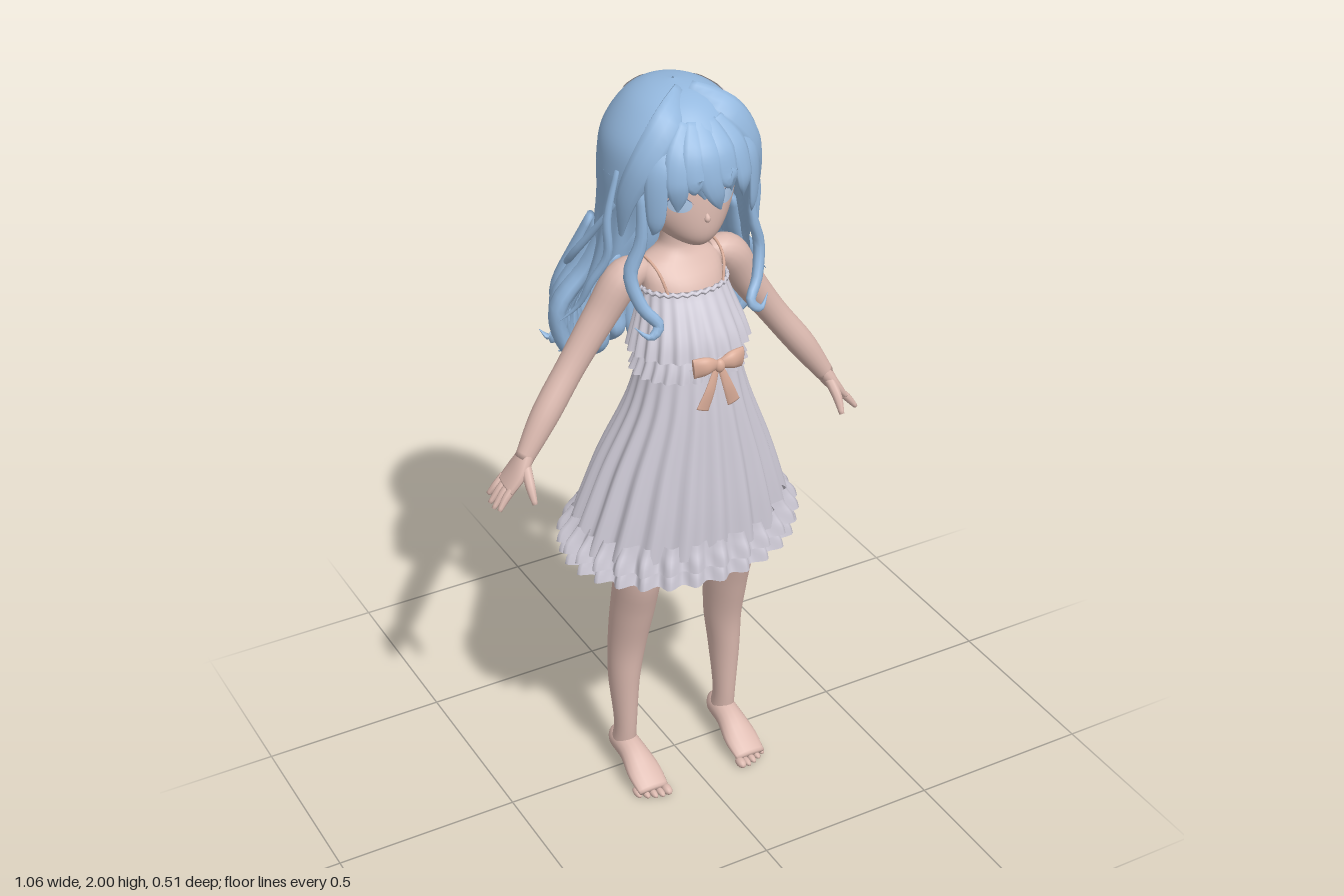
import * as THREE from 'three';

const mat = (name, color, side = THREE.DoubleSide) => {
  const m = new THREE.MeshStandardMaterial({ color, side });
  m.name = name;
  return m;
};
const TAU = Math.PI * 2;
const clamp = THREE.MathUtils.clamp;

// Smooth interpolation through a list of rows, t from 0 to 1
function sample(rows, t) {
  const n = rows.length, f = clamp(t, 0, 1) * (n - 1);
  const i = Math.min(Math.floor(f), n - 2), k = f - i;
  return rows[i].map((_, c) => {
    const p = j => rows[clamp(j, 0, n - 1)][c];
    const a = p(i - 1), b = p(i), d = p(i + 1), e = p(i + 2);
    return b + 0.5 * k * (d - a + k * (2 * a - 5 * b + 4 * d - e + k * (3 * (b - d) + e - a)));
  });
}

// Grid surface from fn(u, v); closed surfaces share the seam so normals stay smooth
function surface(nu, nv, fn, closed = true) {
  const cols = closed ? nu : nu + 1, pos = [], idx = [];
  for (let j = 0; j <= nv; j++) for (let i = 0; i < cols; i++) pos.push(...fn(i / nu, j / nv));
  for (let j = 0; j < nv; j++) for (let i = 0; i < nu; i++) {
    const a = j * cols + i, b = j * cols + (i + 1) % cols;
    idx.push(a, b, a + cols, b, b + cols, a + cols);
  }
  const g = new THREE.BufferGeometry();
  g.setAttribute('position', new THREE.Float32BufferAttribute(pos, 3));
  g.setIndex(idx);
  g.computeVertexNormals();
  return g;
}

// Point on a stack of ellipses, rows = [y, rx, rz, cx, cz, fold depth]
function ringPoint(rows, a, t, folds = 0, grow = 1, tilt = 0) {
  const [y, rx, rz, cx, cz, amp = 0] = sample(rows, t);
  const w = grow * (1 + amp * Math.cos(folds * a));
  return [cx + Math.sin(a) * rx * w, y - tilt * Math.cos(a), cz + Math.cos(a) * rz * w];
}
const loft = (rows, nu = 32, nv = 24, folds = 0, grow = 1, tilt = 0) =>
  surface(nu, nv, (u, v) => ringPoint(rows, u * TAU, v, folds, grow, tilt));

// Tapered tube with elliptical section; radii = [along normal, across]
function sweep(pts, radii, normal = null, nu = 10, nv = 22) {
  return surface(nu, nv, (u, v) => {
    const j = Math.round(v * nv), t = clamp((j - 1) / (nv - 2), 0, 1);
    const c = new THREE.Vector3(...sample(pts, t));
    const T = new THREE.Vector3(...sample(pts, t + 0.01)).sub(new THREE.Vector3(...sample(pts, t - 0.01))).normalize();
    const N = normal ? new THREE.Vector3(...normal) : new THREE.Vector3(c.x, 0, c.z);
    N.addScaledVector(T, -N.dot(T)).normalize();
    const B = new THREE.Vector3().crossVectors(T, N);
    const [rn, rb] = sample(radii, t), k = j === 0 || j === nv ? 0.001 : 1;
    return c.addScaledVector(N, rn * k * Math.cos(u * TAU)).addScaledVector(B, rb * k * Math.sin(u * TAU)).toArray();
  });
}

export function createModel() {
  const root = new THREE.Group();
  root.name = 'girl';
  const skin = mat('skin', 0xdcbab0), hair = mat('hair blue', 0x94b8de), shine = mat('hair shine', 0xdcd8de);
  const cloth = mat('dress cloth', 0xd0ccd8), lining = mat('dress lining', 0x9dbbe0), ribbon = mat('ribbon', 0xdcae9a);
  const iris = mat('eye blue', 0xb4d0f0), lash = mat('lash', 0x667798);
  const add = (name, geo, material) => {
    const m = new THREE.Mesh(geo, material);
    m.name = name;
    root.add(m);
    return m;
  };
  const flip = (pts, s) => pts.map(([x, y, z]) => [x * s, y, z]);
  const round = list => list.map(r => [r, r]);

  // Torso and neck
  add('torso', loft([[0.82, 0.09, 0.07, 0, 0.03], [0.95, 0.14, 0.1, 0, 0.04], [1.12, 0.12, 0.09, 0, 0.055],
    [1.27, 0.1, 0.085, 0, 0.06], [1.4, 0.105, 0.085, 0, 0.055], [1.49, 0.108, 0.077, 0, 0.04],
    [1.54, 0.105, 0.058, 0, 0.02], [1.568, 0.055, 0.046, 0, 0.012], [1.6, 0.04, 0.04, 0, 0.012], [1.68, 0.04, 0.04, 0, 0.02]], 32, 36), skin);

  // Head, nose and eyes
  const headRows = [[1.612, 0.004, 0.004, 0, 0.115], [1.628, 0.045, 0.055, 0, 0.09], [1.66, 0.086, 0.1, 0, 0.06],
    [1.72, 0.127, 0.135, 0, 0.027], [1.8, 0.146, 0.15, 0, 0.005], [1.88, 0.13, 0.14, 0, 0], [1.95, 0.03, 0.03, 0, 0]];
  add('head', loft(headRows, 40, 30), skin);
  add('nose', sweep([[0, 1.715, 0.158], [0, 1.7, 0.163], [0, 1.69, 0.158]], round([0.002, 0.008, 0.002]), [0, 0, 1]), skin);
  for (const s of [1, -1]) {
    add('eye', surface(24, 3, (u, v) => ringPoint(headRows, s * 0.5 + 0.22 * (1 - v) * Math.cos(u * TAU),
      0.55 + 0.042 * (1 - v) * Math.sin(u * TAU), 0, 1.015)), iris);
    add('eyelash', surface(14, 2, (u, v) => ringPoint(headRows, s * 0.5 - 0.25 + 0.5 * u,
      0.553 + 0.04 * Math.sin(u * Math.PI) + 0.012 * v * Math.sin(u * Math.PI), 0, 1.02), false), lash);
  }

  // Limbs
  for (const s of [1, -1]) {
    add('leg', loft([[0.07, 0.033, 0.042, 0.155, -0.01], [0.15, 0.03, 0.035, 0.155, 0.005], [0.3, 0.041, 0.05, 0.155, 0],
      [0.42, 0.05, 0.058, 0.147, 0.005], [0.55, 0.056, 0.07, 0.141, 0.028], [0.7, 0.057, 0.08, 0.134, 0.058],
      [0.92, 0.066, 0.085, 0.085, 0.05]].map(([y, rx, rz, cx, cz]) => [y, rx, rz, cx * s, cz]), 24, 30), skin);
    add('foot', sweep(flip([[0.155, 0.08, -0.058], [0.155, 0.078, -0.03], [0.153, 0.07, 0.04], [0.152, 0.043, 0.105], [0.152, 0.02, 0.16]], s),
      [[0.016, 0.016], [0.038, 0.033], [0.036, 0.037], [0.025, 0.048], [0.012, 0.044]], [0, 1, 0], 16), skin);
    for (let i = 0; i < 5; i++) {
      const toe = add('toe', new THREE.SphereGeometry(1, 10, 8), skin);
      const r = i ? 0.0095 : 0.013;
      toe.scale.set(r, r, 0.022);
      toe.position.set(s * (0.116 + i * 0.019), r, 0.168 - i * i * 0.0018);
    }
    add('arm', sweep(flip([[0.085, 1.525, 0.012], [0.145, 1.512, 0.01], [0.205, 1.42, 0], [0.285, 1.305, 0], [0.37, 1.19, 0.013], [0.437, 1.09, 0.025]], s),
      round([0.03, 0.047, 0.043, 0.037, 0.036, 0.024]), [0, 0, 1], 18, 30), skin);
    add('palm', sweep(flip([[0.428, 1.105, 0.024], [0.455, 1.06, 0.022], [0.485, 1.022, 0.016]], s),
      [[0.025, 0.022], [0.04, 0.019], [0.042, 0.012]], [0, 0, 1], 14), skin);
    // Fingers fan out from the palm
    for (let i = 0; i < 4; i++) {
      const z = 0.046 - i * 0.021, len = [0.9, 1, 0.95, 0.75][i];
      add('finger', sweep(flip([[0.474, 1.032, z], [0.497, 1.008, z], [0.485 + 0.04 * len, 1.022 - 0.05 * len, z * 1.2 - 0.004]], s),
        round([0.01, 0.0105, 0.006]), [0, 0, 1], 8, 10), skin);
    }
    add('thumb', sweep(flip([[0.44, 1.08, 0.04], [0.446, 1.04, 0.075], [0.446, 1.0, 0.1]], s), round([0.014, 0.013, 0.007]), [1, 0, 0], 8, 10), skin);
  }

  // Dress: pleated skirt with lining, two hem ruffles, waist frill and bodice flounce
  const skirtRows = [[0.79, 0.298, 0.212, 0, 0.022, 0.045], [0.9, 0.263, 0.196, 0, 0.035, 0.045], [1.02, 0.222, 0.174, 0, 0.048, 0.04],
    [1.18, 0.158, 0.136, 0, 0.07, 0.03], [1.31, 0.122, 0.115, 0, 0.073, 0.01]];
  add('skirt', loft(skirtRows, 160, 24, 20), cloth);
  add('skirtLining', loft(skirtRows, 160, 16, 20, 0.965), lining);
  const ruffleRows = [[0.775, 0.322, 0.229, 0, 0.024, 0.05], [0.8, 0.312, 0.224, 0, 0.023, 0.06], [0.825, 0.297, 0.214, 0, 0.025, 0.045], [0.845, 0.285, 0.207, 0, 0.028, 0.04]];
  add('upperRuffle', loft(ruffleRows, 200, 8, 28, 1, 0.012), cloth);
  const lowRows = ruffleRows.map(([y, ...r]) => [y - 0.035, ...r]);
  add('lowerRuffle', loft(lowRows, 200, 8, 28, 0.985, 0.022), cloth);
  add('ruffleLining', loft(lowRows, 200, 8, 28, 0.96, 0.022), lining);
  add('waistFrill', loft([[1.275, 0.15, 0.122, 0, 0.072, 0.045], [1.31, 0.136, 0.115, 0, 0.072, 0.03], [1.37, 0.115, 0.1, 0, 0.065, 0.01]], 160, 8, 24), cloth);
  add('bodiceFlounce', loft([[1.335, 0.157, 0.126, 0, 0.073, 0.045], [1.38, 0.145, 0.117, 0, 0.069, 0.035], [1.44, 0.125, 0.099, 0, 0.057, 0.02],
    [1.485, 0.113, 0.085, 0, 0.046, 0.015], [1.497, 0.114, 0.086, 0, 0.046, 0.03]], 160, 14, 22), cloth);
  add('necklineTrim', surface(120, 8, (u, v) => {
    const a = u * TAU, r = 0.114 + 0.005 * Math.cos(v * TAU);
    return [Math.sin(a) * r, 1.49 - 0.006 * Math.sin(v * TAU) + 0.003 * Math.cos(a * 30), 0.046 + Math.cos(a) * (r - 0.027)];
  }), cloth);

  // Straps and bow
  for (const s of [1, -1]) {
    add('strap', sweep(flip([[0.075, 1.485, 0.11], [0.09, 1.545, 0.085], [0.098, 1.567, 0.02], [0.09, 1.54, -0.035], [0.07, 1.485, -0.035]], s),
      round([0.004, 0.004, 0.004]), [1, 0, 0], 6), ribbon);
    add('bowLoop', sweep(flip([[0.004, 1.335, 0.222], [0.035, 1.34, 0.225], [0.068, 1.337, 0.218]], s), [[0.007, 0.011], [0.014, 0.024], [0.008, 0.027]], [0, 0, 1], 14), ribbon);
    add('bowTail', sweep(flip([[0.006, 1.325, 0.222], [0.025, 1.27, 0.226], [0.044, 1.218, 0.222]], s), [[0.004, 0.008], [0.004, 0.014], [0.004, 0.018]], [0, 0, 1]), ribbon);
  }
  const knot = add('bowKnot', new THREE.SphereGeometry(1, 14, 10), ribbon);
  knot.scale.set(0.014, 0.018, 0.012);
  knot.position.set(0, 1.334, 0.228);

  // Hair shell: closed crown above, open curtain below; last column is the opening angle
  const hairRows = [[1.27, 0.235, 0.135, 0, -0.075, 0.045, 1.65], [1.4, 0.25, 0.152, 0, -0.058, 0.035, 1.6], [1.5, 0.225, 0.165, 0, -0.026, 0.022, 1.55],
    [1.6, 0.203, 0.184, 0, -0.002, 0.012, 1.25], [1.7, 0.188, 0.188, 0, 0, 0.005, 0.95], [1.8, 0.187, 0.192, 0, 0.004, 0, 0.72],
    [1.88, 0.172, 0.183, 0, 0.003, 0, 0.7], [1.95, 0.122, 0.135, 0, -0.003, 0, 0.7], [1.985, 0.067, 0.077, 0, -0.005, 0, 0.7], [1.997, 0.003, 0.003, 0, -0.005, 0, 0.7]];
  const split = 5 / 9;
  add('hairCrown', surface(64, 24, (u, v) => ringPoint(hairRows, u * TAU, split + (1 - split) * v)), hair);
  add('hairCurtain', surface(110, 30, (u, v) => {
    const a0 = sample(hairRows, v * split)[6];
    return ringPoint(hairRows, a0 + (TAU - 2 * a0) * u, v * split, 20);
  }, false), hair);
  add('hairShine', surface(40, 6, (u, v) => {
    const wobble = 0.8 + 0.2 * Math.sin(u * 23);
    const p = ringPoint(hairRows, 1.14 + 2.5 * u, (6.85 + (v - 0.5) * 0.95 * wobble * Math.pow(Math.sin(Math.PI * (0.06 + 0.88 * u)), 0.5)) / 9, 0, 1.012);
    return [p[0], p[1] + 0.003, p[2]];
  }, false), shine);

  // Locks of hair
  const lock = (name, pts, w, thick = w * 0.5) => add(name, sweep(pts,
    [[0.5, 0.6], [1, 1], [1, 0.95], [0.75, 0.7], [0.06, 0.06]].map(([a, b]) => [a * thick, b * w])), hair);
  const front = (x, r = 0.198) => r * Math.sqrt(1 - (x / 0.2) ** 2);
  [[-0.13, 1.68], [-0.09, 1.74], [-0.05, 1.765], [-0.012, 1.73], [0.035, 1.77], [0.085, 1.74], [0.13, 1.68]].forEach(([x, y], i) => {
    const tip = x + [-0.005, 0.005, 0.03, 0.035, 0.02, 0.01, 0.005][i];
    lock('bang', [[x * 0.45, 1.94, front(x * 0.45, 0.135)], [x * 0.85, 1.88, front(x, 0.183)], [x, 1.82, front(x, 0.199)], [(x + tip) / 2, y + 0.04, front(x, 0.199)], [tip, y, front(tip, 0.188)]], 0.032, 0.01);
  });
  for (const s of [1, -1]) {
    lock('crownLock', flip([[0.01, 1.985, 0.05], [0.08, 1.945, 0.115], [0.145, 1.86, 0.122], [0.178, 1.76, 0.09], [0.18, 1.64, 0.06]], s), 0.04, 0.014);
    lock('frontRinglet', flip([[0.155, 1.78, 0.115], [0.152, 1.66, 0.115], [0.178, 1.57, 0.105], [0.16, 1.49, 0.13], [0.128, 1.445, 0.155], [0.155, 1.42, 0.16], [0.185, 1.445, 0.14]], s), 0.018, 0.014);
    lock('looseStrand', flip([[0.18, 1.82, 0.05], [0.206, 1.7, 0.045], [0.204, 1.6, 0.04], [0.235, 1.52, 0.01], [0.255, 1.45, -0.02], [0.295, 1.4, -0.05]], s), 0.012, 0.01);
    lock('loopStrand', flip([[0.18, 1.73, 0.04], [0.21, 1.63, -0.03], [0.234, 1.54, -0.1], [0.2, 1.45, -0.2], [0.15, 1.36, -0.235], [0.1, 1.28, -0.235]], s), 0.01, 0.009);
    // Waves swelling out behind the arms
    for (let i = 0; i < 3; i++) {
      const d = i * 0.035;
      lock('sideWave', flip([[0.175, 1.64, -0.03 - d], [0.21, 1.52, -0.07 - d], [0.275 - d * 0.5, 1.42, -0.09 - d], [0.262 - d * 0.6, 1.32 - d * 0.3, -0.1 - d], [0.215 - d * 0.3, 1.25, -0.11 - d], [0.26 - d * 0.5, 1.19 + d * 0.5, -0.13 - d]], s), 0.034, 0.022);
    }
    lock('sideFlick', flip([[0.2, 1.5, -0.07], [0.255, 1.42, -0.09], [0.26, 1.35, -0.1], [0.285, 1.32, -0.12], [0.31, 1.345, -0.13]], s), 0.022);
  }
  // Curled tips along the back hem
  for (let i = -5; i <= 5; i++) {
    const a = Math.PI + i * 0.25, at = (r, y) => [Math.sin(a) * 0.235 * r, y, -0.072 + Math.cos(a) * 0.14 * r];
    const drop = 0.02 * (i & 1);
    lock('backTip', [at(0.95, 1.46), at(1.03, 1.38), at(1.0, 1.29), at(0.95, 1.22 + drop), at(1.15, 1.18 + drop)], 0.034, 0.02);
  }
  return root;
}
